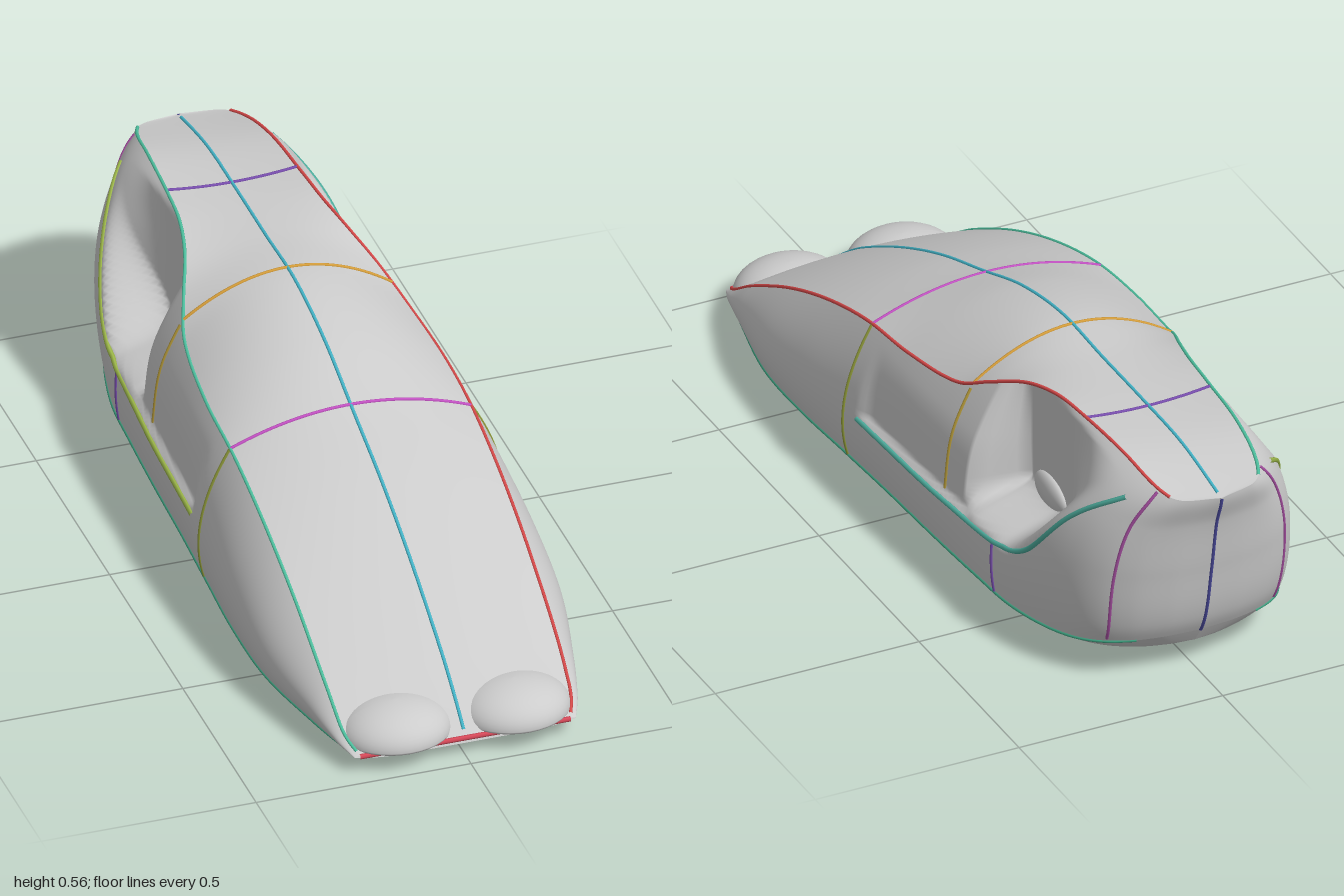
import * as THREE from 'three';

const grey = new THREE.MeshStandardMaterial({ color: 0xcccccc, side: THREE.DoubleSide });
const { lerp, smoothstep, clamp } = THREE.MathUtils;

// Smooth interpolation through [station, value] keys, station falling from nose to tail
function profile(keys) {
  const slope = (i) => {
    const a = keys[Math.max(i - 1, 0)], b = keys[Math.min(i + 1, keys.length - 1)];
    return (b[1] - a[1]) / (b[0] - a[0]);
  };
  return (s) => {
    let i = 0;
    while (i < keys.length - 2 && s < keys[i + 1][0]) i++;
    const [s0, a] = keys[i], [s1, b] = keys[i + 1], d = s1 - s0;
    const t = clamp((s - s0) / d, 0, 1), t2 = t * t, t3 = t2 * t;
    return a * (2 * t3 - 3 * t2 + 1) + b * (3 * t2 - 2 * t3)
      + d * (slope(i) * (t3 - 2 * t2 + t) + slope(i + 1) * (t3 - t2));
  };
}

// Shell outline along its length
const spineY = profile([[0.96, 0.05], [0.9, 0.1], [0.8, 0.17], [0.6, 0.28], [0.4, 0.37], [0.2, 0.44],
  [0, 0.51], [-0.2, 0.547], [-0.4, 0.545], [-0.6, 0.545], [-0.8, 0.54], [-1, 0.505]]);
const creaseY = profile([[0.96, 0.046], [0.9, 0.08], [0.8, 0.145], [0.6, 0.25], [0.4, 0.33], [0.2, 0.385],
  [0, 0.41], [-0.2, 0.44], [-0.3, 0.487], [-0.4, 0.53], [-0.5, 0.55], [-0.6, 0.555], [-0.8, 0.55], [-1, 0.507]]);
const creaseX = profile([[0.96, 0.245], [0.9, 0.265], [0.6, 0.275], [0.2, 0.28], [0, 0.278], [-0.2, 0.257],
  [-0.3, 0.225], [-0.4, 0.188], [-0.5, 0.165], [-0.6, 0.155], [-0.8, 0.14], [-0.93, 0.12], [-0.98, 0.085], [-1, 0]]);
const halfWidth = profile([[0.96, 0.25], [0.9, 0.275], [0.8, 0.305], [0.6, 0.35], [0.4, 0.36], [0.2, 0.353],
  [0, 0.343], [-0.2, 0.335], [-0.4, 0.325], [-0.6, 0.312], [-0.8, 0.275], [-0.9, 0.235], [-0.96, 0.17], [-0.99, 0.085], [-1, 0]]);
const lowerY = profile([[0.96, 0.04], [0.6, 0.055], [0.2, 0.068], [-0.4, 0.07], [-0.75, 0.08], [-1, 0.11]]);
const bottomY = profile([[0.96, 0.03], [0.8, 0.01], [0.4, 0], [0, 0.008], [-0.25, 0.018], [-0.5, 0.016],
  [-0.8, 0.035], [-1, 0.07]]);
const tailZ = profile([[0.56, -1], [0.5, -0.995], [0.43, -0.97], [0.3, -0.945], [0.15, -0.91], [0.05, -0.85]]);

// Lean the tail so that it overhangs its foot
const place = (x, y, s) => new THREE.Vector3(x, y, s > -0.5 ? s : -0.5 + (s + 0.5) * (tailZ(y) + 0.5) / -0.5);

function topPoint(s, u) {
  return place(u * creaseX(s), lerp(creaseY(s), spineY(s), 1 - u * u), s);
}

function bottomPoint(s, u) {
  const b = bottomY(s), dip = 0.025 * clamp((0.96 - s) / 0.2, 0, 1);
  const y = u < 0.62 ? b + dip * (0.5 + 0.5 * Math.cos(Math.PI * u / 0.62))
    : b + (lowerY(s) - b) * ((u - 0.62) / 0.38) ** 2;
  return place(u * halfWidth(s) * 0.965, y, s);
}

// Bulged flank with a thumb scoop, fuller towards the tail, and a shallow ledge
function sidePoint(s, v) {
  const w = halfWidth(s), y0 = lowerY(s), y2 = creaseY(s), a = (1 - v) ** 2, b = 2 * v * (1 - v), c = v * v;
  const full = smoothstep(-s, 0.4, 0.8);
  let x = a * w * 0.965 + b * w * lerp(1.09, 1.14, full) + c * creaseX(s);
  const y = a * y0 + b * lerp(y0, y2, lerp(0.45, 0.72, full)) + c * y2;
  const floor = 0.205 + 0.25 * smoothstep(-s, 0.52, 0.88);
  const scoop = smoothstep(-s, 0.335, 0.375) * (1 - smoothstep(-s, 0.58, 0.86)) * smoothstep(y, floor, floor + 0.07);
  x = lerp(x, Math.min(x, 0.165), scoop);
  const ledge = smoothstep(-s, -0.13, -0.08) * (1 - smoothstep(-s, 0.34, 0.4));
  x -= 0.016 * ledge * smoothstep(y, 0.195, 0.21) * (1 - smoothstep(y, 0.21, 0.38));
  return place(x, y, s);
}

// Point on the flank at a wanted height
function flankAt(s, y) {
  let lo = 0, hi = 1;
  for (let i = 0; i < 24; i++) {
    const m = (lo + hi) / 2;
    if (sidePoint(s, m).y < y) lo = m; else hi = m;
  }
  return sidePoint(s, lo);
}

const station = (t) => -0.02 + 0.98 * Math.cos(Math.PI * t);
const mirror = (p, side) => { p.x *= side; return p; };

// Lofted panel over (station, across)
function panel(name, point, side, across, flip, along = 220) {
  const pos = [], idx = [];
  for (let i = 0; i <= along; i++) {
    for (let j = 0; j <= across; j++) pos.push(...mirror(point(station(i / along), j / across), side).toArray());
  }
  for (let i = 0; i < along; i++) {
    for (let j = 0; j < across; j++) {
      const a = i * (across + 1) + j, b = a + 1, c = a + across + 1, d = c + 1;
      if ((side < 0) !== flip) idx.push(a, c, b, b, c, d);
      else idx.push(a, b, c, b, d, c);
    }
  }
  const g = new THREE.BufferGeometry();
  g.setAttribute('position', new THREE.Float32BufferAttribute(pos, 3));
  g.setIndex(idx);
  g.computeVertexNormals();
  const m = new THREE.Mesh(g, grey);
  m.name = name;
  return m;
}

// Thin raised seam through sampled points
function seam(name, color, fn, n = 40, r = 0.004) {
  const pts = Array.from({ length: n + 1 }, (_, i) => fn(i / n));
  const g = new THREE.TubeGeometry(new THREE.CatmullRomCurve3(pts), n * 2, r, 6);
  const m = new THREE.Mesh(g, new THREE.MeshStandardMaterial({ color }));
  m.name = name;
  return m;
}

// Domed button tip with a flattened underside
function buttonTip(name, side) {
  const g = new THREE.SphereGeometry(1, 36, 24), p = g.attributes.position;
  for (let i = 0; i < p.count; i++) {
    const y = p.getY(i);
    p.setXYZ(i, p.getX(i) * 0.13, y * (y > 0 ? 0.072 : 0.025), p.getZ(i) * 0.115);
  }
  g.computeVertexNormals();
  const m = new THREE.Mesh(g, grey);
  m.position.set(side * 0.138, 0.055, 0.883);
  m.name = name;
  return m;
}

export function createModel() {
  const model = new THREE.Group();

  for (const side of [1, -1]) {
    const label = side > 0 ? 'left' : 'right';
    const tint = (a, b) => (side > 0 ? a : b);
    const half = new THREE.Group();
    half.name = label + 'Half';
    model.add(half);

    // Shell panels
    half.add(panel(label + 'TopShell', topPoint, side, 18, true));
    half.add(panel(label + 'Flank', sidePoint, side, 44, false));
    half.add(panel(label + 'Base', bottomPoint, side, 20, false));
    half.add(buttonTip(label + 'ButtonTip', side));

    // Small thumb button inside the scoop
    const thumb = new THREE.Mesh(new THREE.SphereGeometry(1, 28, 18), grey);
    thumb.name = label + 'ThumbButton';
    thumb.position.set(side * 0.165, 0.285, -0.48);
    thumb.scale.set(0.02, 0.04, 0.075);
    half.add(thumb);

    // Seams running lengthwise
    half.add(seam(label + 'CreaseSeam', tint(0xd94a4a, 0x4fc3a1),
      (t) => mirror(topPoint(lerp(0.95, -0.96, t), 1), side), 70));
    half.add(seam(label + 'LowerSeam', 0x3fa583,
      (t) => mirror(bottomPoint(lerp(0.95, -0.97, t), 1), side), 60));
    const railY = profile([[0.12, 0.195], [-0.3, 0.195], [-0.5, 0.205], [-0.65, 0.255], [-0.78, 0.4], [-0.88, 0.49]]);
    half.add(seam(label + 'LedgeRail', tint(0x4fb0a0, 0x9db84a), (t) => {
      const s = lerp(0.12, -0.88, t);
      return mirror(flankAt(s, railY(s)), side);
    }, 50, 0.006));
    half.add(seam(label + 'TailSeam', 0xa54fa0,
      (t) => mirror(sidePoint(-0.93, lerp(0.02, 0.98, t)), side), 24));

    // Seams running across
    for (const [s, color] of [[0.18, 0xc653c6], [-0.25, 0xd8a03c], [-0.63, 0x7a4fb0]]) {
      half.add(seam(label + 'TopCrossSeam', color, (t) => mirror(topPoint(s, t), side), 20));
    }
    half.add(seam(label + 'FrontFlankSeam', 0x8f9a3a, (t) => mirror(sidePoint(0.18, t), side), 20));
    half.add(seam(label + 'RearFlankSeam', 0xb59a3a,
      (t) => mirror(flankAt(-0.25, lerp(0.21, 0.45, t)), side), 20));
    half.add(seam(label + 'FootFlankSeam', 0x7a4fb0,
      (t) => mirror(flankAt(-0.49, lerp(0.075, 0.2, t)), side), 12));
    for (const s of [0.18, -0.49]) {
      half.add(seam(label + 'BaseCrossSeam', 0x3f8a78, (t) => mirror(bottomPoint(s, t), side), 20));
    }
  }

  // Centre seams and nose edge
  model.add(seam('topCentreSeam', 0x45b8cc, (t) => topPoint(lerp(0.95, -0.98, t), 0), 60));
  model.add(seam('baseCentreSeam', 0x4a4a9c, (t) => bottomPoint(lerp(0.95, -0.98, t), 0), 60));
  model.add(seam('tailCentreSeam', 0x4a4a9c, (t) => sidePoint(-1, t), 24));
  model.add(seam('noseEdge', 0xd94a5a, (t) => new THREE.Vector3(lerp(-0.245, 0.245, t), 0.043, 0.96), 12, 0.006));

  return model;
}
